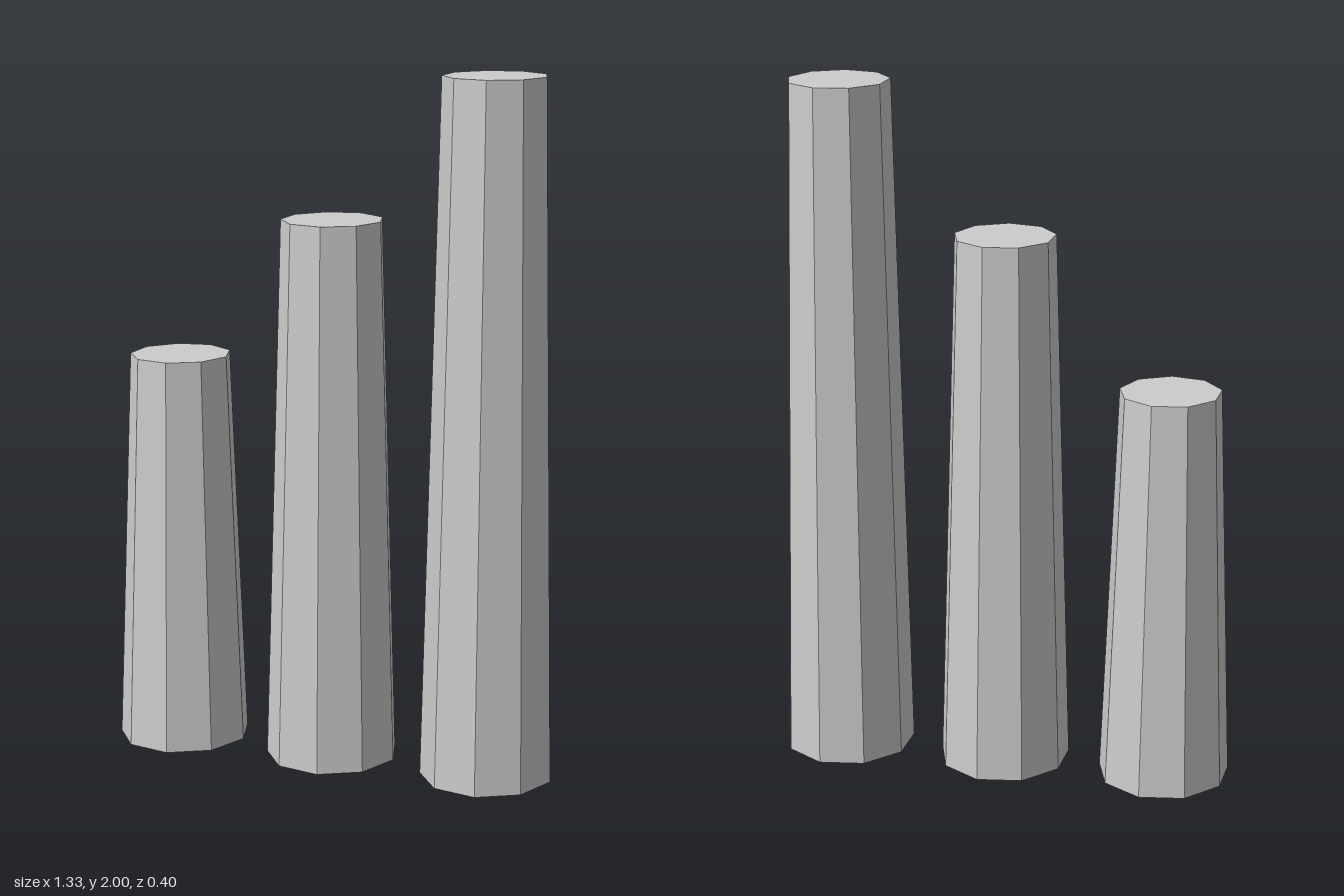
import * as THREE from 'three';

export function createModel() {
  const group = new THREE.Group();
  group.name = 'columns';
  const stone = new THREE.MeshStandardMaterial({ color: 0xcccccc });
  stone.name = 'grey stone';
  stone.flatShading = true;

  // Tapered nine-sided column, slightly narrower in x, one corner towards +x
  const column = (name, x, height) => {
    const geometry = new THREE.CylinderGeometry(0.154, 0.202, height, 9, 1, false, Math.PI / 2);
    geometry.scale(0.947, 1, 1);
    geometry.translate(0, height / 2, 0);
    const mesh = new THREE.Mesh(geometry, stone);
    mesh.name = name;
    mesh.position.x = x;
    group.add(mesh);
  };

  // Row of columns rising evenly towards +x
  ['shortColumn', 'middleColumn', 'tallColumn'].forEach((name, i) => {
    column(name, -0.486 + i * 0.48, 1.16 + i * 0.42);
  });

  return group;
}
